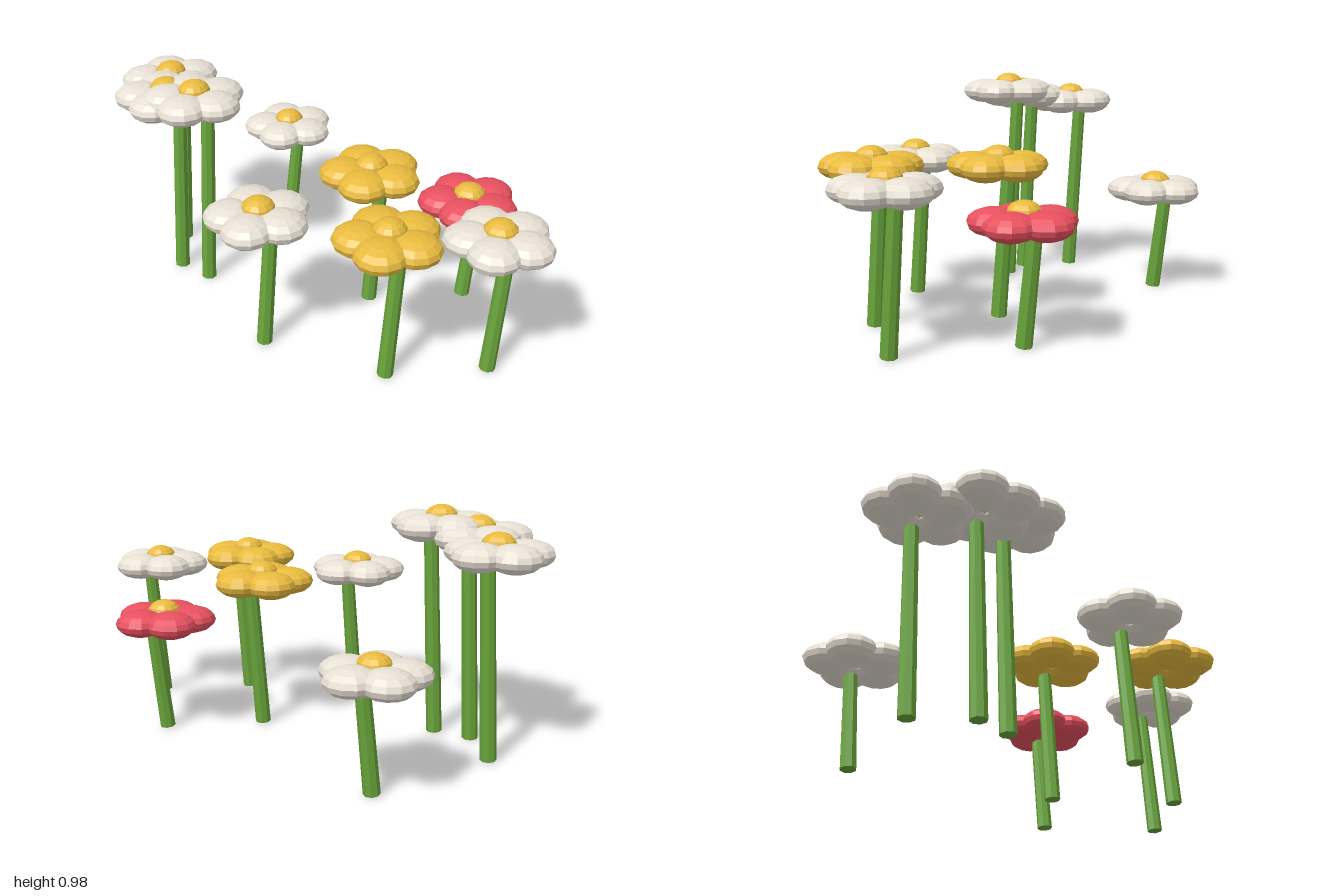
import * as THREE from 'three';

const mat = (color) => new THREE.MeshStandardMaterial({ color, flatShading: true });

// Cylinder running between two points, wider at the foot
function stemBetween(from, to, material) {
  const dir = to.clone().sub(from);
  const stem = new THREE.Mesh(new THREE.CylinderGeometry(0.029, 0.033, dir.length(), 8), material);
  stem.position.copy(from).add(to).multiplyScalar(0.5);
  stem.quaternion.setFromUnitVectors(new THREE.Vector3(0, 1, 0), dir.normalize());
  stem.name = 'stem';
  return stem;
}

export function createModel() {
  const group = new THREE.Group();
  group.name = 'flowerPatch';

  const green = mat(0x6aa63c), yellow = mat(0xe8ba3e), white = mat(0xe8e0d4), red = mat(0xe8505f);
  const petalGeo = new THREE.SphereGeometry(1, 12, 8).scale(0.107, 0.056, 0.105);
  const centreGeo = new THREE.SphereGeometry(1, 12, 8).scale(0.068, 0.05, 0.068);

  // x, z, head height, petal material
  const flowers = [
    [-0.34, -0.785, 0.83, white],
    [0.235, -0.725, 0.455, white],
    [-0.467, -0.58, 0.86, white],
    [-0.414, -0.425, 0.89, white],
    [-0.456, 0.12, 0.615, white],
    [0.082, 0.13, 0.633, yellow],
    [0.437, 0.347, 0.478, red],
    [-0.176, 0.575, 0.647, yellow],
    [0.18, 0.785, 0.62, white],
  ];

  for (const [x, z, h, petalMat] of flowers) {
    const flower = new THREE.Group();
    flower.name = 'flower';
    flower.position.set(x, 0, z);

    // Leaning stem
    flower.add(stemBetween(new THREE.Vector3(0, 0.004, 0), new THREE.Vector3(0.06, h, 0), green));

    // Ring of five overlapping petals
    for (let i = 0; i < 5; i++) {
      const a = (i / 5) * Math.PI * 2;
      const petal = new THREE.Mesh(petalGeo, petalMat);
      petal.position.set(Math.cos(a) * 0.11, h, Math.sin(a) * 0.11);
      petal.rotation.y = -a;
      petal.name = 'petal';
      flower.add(petal);
    }

    // Domed centre
    const centre = new THREE.Mesh(centreGeo, yellow);
    centre.position.y = h + 0.035;
    centre.name = 'flowerCentre';
    flower.add(centre);

    group.add(flower);
  }
  return group;
}
